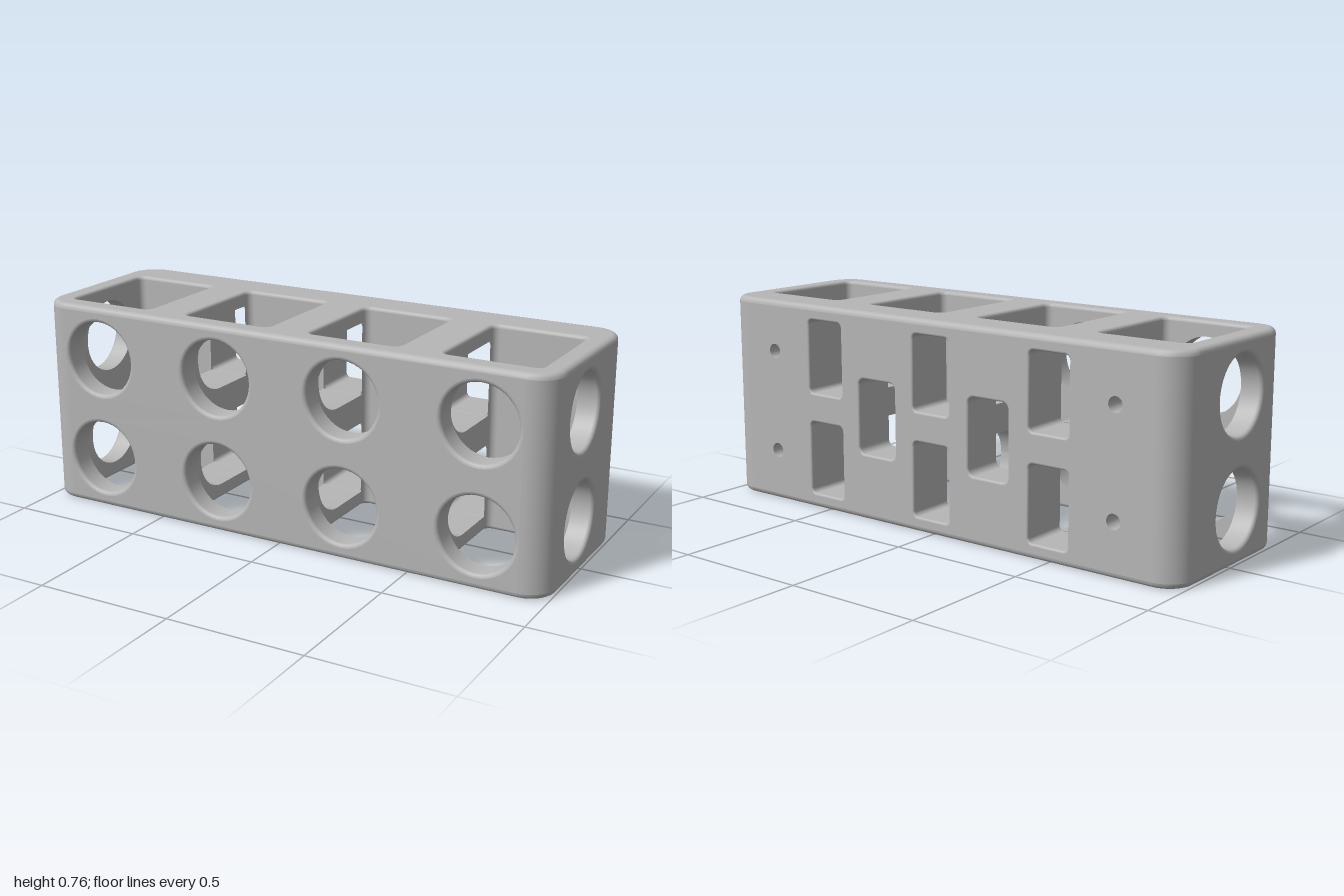
import * as THREE from 'three';

const H = 0.76, D = 0.655, CORNER = 0.1, EDGE = 0.02;    // outer block
const ZF = 0.245, ZB = -0.17, PC = 0.025, LIP = 0.012;   // pocket faces, corner radius, lip
const HOLE = 0.136, HOLE_Z = 0.04, ROWS = [0.19, 0.57];  // round openings
const STEPS = 10, ALL = [0, 1, 2, 3];

export function createModel() {
  const model = new THREE.Group();
  model.name = 'compartmentBlock';
  const grey = new THREE.MeshStandardMaterial({ color: 0xb6b6b6, side: THREE.DoubleSide });
  grey.name = 'plain grey';

  // Local frames: z = front wall plane, x = end wall plane, y = top plane
  const turn = { z: [0, 0, 0], x: [0, Math.PI / 2, 0], y: [-Math.PI / 2, 0, 0] };
  function add(name, axis, geometry) {
    const mesh = new THREE.Mesh(geometry, grey);
    mesh.name = name;
    mesh.rotation.set(...turn[axis]);
    model.add(mesh);
  }

  // Rounded rectangle; r is one radius or four, from upper right counter-clockwise
  const rect = (x, y, w, h, r = 0) => ({ x, y, w, h, r: Array.isArray(r) ? r : [r, r, r, r] });
  const disc = (x, y, r) => rect(x, y, 2 * r, 2 * r, r);

  function outline(s, grow = 0) {
    const pts = [];
    const round = s.w === s.h && s.r[0] === s.w / 2;
    ALL.forEach((c) => {
      const r = s.r[c] + grow;
      const cx = s.x + (c === 0 || c === 3 ? 1 : -1) * (s.w / 2 + grow - r);
      const cy = s.y + (c < 2 ? 1 : -1) * (s.h / 2 + grow - r);
      if (r <= 0) { pts.push(new THREE.Vector2(cx, cy)); return; }
      for (let i = 0; i <= STEPS - (round ? 1 : 0); i++) {
        const a = (c + i / STEPS) * Math.PI / 2;
        pts.push(new THREE.Vector2(cx + r * Math.cos(a), cy + r * Math.sin(a)));
      }
    });
    return pts;
  }

  // Flat wall at distance d with openings given as [shape, grow]
  function face(name, axis, d, s, holes, flip = false, grow = 0) {
    const shape = new THREE.Shape(outline(s, grow));
    holes.forEach(([h, g]) => shape.holes.push(new THREE.Path(outline(h, g))));
    const geo = new THREE.ShapeGeometry(shape);
    if (flip) {
      geo.setIndex(Array.from(geo.index.array).reverse());
      geo.computeVertexNormals();
    }
    add(name, axis, geo.translate(0, 0, d));
  }

  // Skin through outlines at [grow, distance]: falling distance faces in, rising faces out
  function skin(name, axis, s, profile, skip = []) {
    const pos = [], index = [];
    const n = outline(s).length;
    for (const [g, d] of profile) for (const p of outline(s, g)) pos.push(p.x, p.y, d);
    for (let k = 0; k + 1 < profile.length; k++) {
      for (let i = 0; i < n; i++) {
        if (i % (STEPS + 1) === STEPS && skip.includes(Math.floor(i / (STEPS + 1)))) continue;
        const a = k * n + i, b = k * n + (i + 1) % n;
        index.push(a, b, a + n, b, b + n, a + n);
      }
    }
    const geo = new THREE.BufferGeometry();
    geo.setAttribute('position', new THREE.Float32BufferAttribute(pos, 3));
    geo.setIndex(index);
    geo.computeVertexNormals();
    add(name, axis, geo);
  }

  // Quarter-round edge from a surface at d (outward sign s) down into the material
  function roundEdge(f, d, s) {
    return [0, 1, 2, 3, 4].map((i) => {
      const t = i * Math.PI / 8;
      return [f * (1 - Math.sin(t)), d - s * f * (1 - Math.cos(t))];
    });
  }

  function opening(name, axis, s, outer, inner, f) {
    const sign = Math.sign(outer - inner);
    const profile = [...roundEdge(f, outer, sign), [0, inner]];
    skin(name, axis, s, sign > 0 ? profile : profile.reverse());
  }

  // Outer shell: corners, rounded rims, top and bottom
  const body = rect(0, 0, 2, D, CORNER);
  const outward = (p) => p.map(([g, d]) => [-g, d]);
  skin('outerCorners', 'y', body, [[0, EDGE], [0, H - EDGE]], ALL);
  skin('topRim', 'y', body, outward(roundEdge(EDGE, H, 1)).reverse());
  skin('bottomRim', 'y', body, outward(roundEdge(EDGE, 0, -1)));
  const centres = [-0.75, -0.25, 0.25, 0.75];
  const pockets = centres.map((x) => rect(x, -(ZF + ZB) / 2, 0.34, ZF - ZB, PC));
  const mouths = pockets.map((p) => [p, LIP]);
  face('topFace', 'y', H, body, mouths, false, -EDGE);
  face('bottomFace', 'y', 0, body, mouths, true, -EDGE);

  // Front wall with eight round openings
  const F = 0.014;
  const flat = rect(0, H / 2, 2 - 2 * CORNER, H - 2 * EDGE);
  const rounds = centres.flatMap((x) => ROWS.map((y) => disc(x, y, HOLE)));
  face('frontWall', 'z', D / 2, flat, rounds.map((h) => [h, F]));
  rounds.forEach((h) => opening('frontOpening', 'z', h, D / 2, ZF, F));

  // Back wall: staggered slots and countersunk screw holes
  const slots = [-0.25, 0.25].map((x) => rect(x, H / 2, 0.17, 0.275, 0.025));
  const dividerSlots = [-0.5, 0, 0.5].flatMap((x) => ROWS.map((y) => rect(x, y, 0.16, 2 * HOLE, 0.018)));
  const screws = [-0.757, 0.757].flatMap((x) => ROWS.map((y) => disc(x, y, 0.027)));
  const SINK = 0.028, S = 0.008;
  face('backWall', 'z', -D / 2, flat,
    [...slots, ...dividerSlots].map((h) => [h, S]).concat(screws.map((h) => [h, 0])), true);
  slots.forEach((h) => opening('backSlot', 'z', h, -D / 2, ZB, S));
  dividerSlots.forEach((h) => opening('dividerSlot', 'z', h, -D / 2, ZB + PC, S));
  screws.forEach((h) => {
    skin('screwRecess', 'z', h, [[SINK, ZB], [SINK, ZB - 0.05]]);
    skin('screwSeat', 'z', h, [[SINK, ZB - 0.05], [0, ZB - 0.05]]);
    skin('screwHole', 'z', h, [[0, ZB - 0.05], [0, -D / 2]]);
  });

  // End walls with two round openings each
  const ends = ROWS.map((y) => disc(-HOLE_Z, y, HOLE));
  for (const s of [1, -1]) {
    face('endWall', 'x', s, rect(0, H / 2, D - 2 * CORNER, H - 2 * EDGE), ends.map((h) => [h, F]), s < 0);
    ends.forEach((h) => opening('endOpening', 'x', h, s, s * 0.92, F));
  }

  // Divider passages: round at the front, open to the slots at the back
  const x0 = -(HOLE_Z + HOLE), x1 = -(ZB + PC) - 0.001;
  const passages = ROWS.map((y) => rect((x0 + x1) / 2, y, x1 - x0, 2 * HOLE, [0.001, HOLE, HOLE, 0.001]));
  for (const x of [-0.5, 0, 0.5]) {
    passages.forEach((p) => skin('dividerPassage', 'x', p, [[0, x + 0.08], [0, x - 0.08]], [3]));
  }

  // Pocket interiors
  const wallH = H - 2 * LIP;
  pockets.forEach((p, i) => {
    const x = centres[i], outer = Math.abs(x) > 0.5;
    skin('pocketTopLip', 'y', p, roundEdge(LIP, H, 1));
    skin('pocketCorners', 'y', p, [[0, H - LIP], [0, LIP]], ALL);
    skin('pocketBottomLip', 'y', p, roundEdge(LIP, 0, -1).reverse());
    const wall = rect(x, H / 2, 0.34 - 2 * PC, wallH);
    const here = (list) => list.filter((h) => Math.abs(h.x - x) < 0.1);
    face('pocketFront', 'z', ZF, wall, here(rounds).map((h) => [h, 0]), true);
    face('pocketBack', 'z', ZB, wall, outer ? here(screws).map((h) => [h, SINK]) : here(slots).map((h) => [h, 0]));
    for (const s of [1, -1]) {
      const holes = outer && s === Math.sign(x) ? ends : passages;
      face('pocketSide', 'x', x + s * 0.17, rect(-(ZF + ZB) / 2, H / 2, ZF - ZB - 2 * PC, wallH),
        holes.map((h) => [h, 0]), s > 0);
    }
  });
  return model;
}
